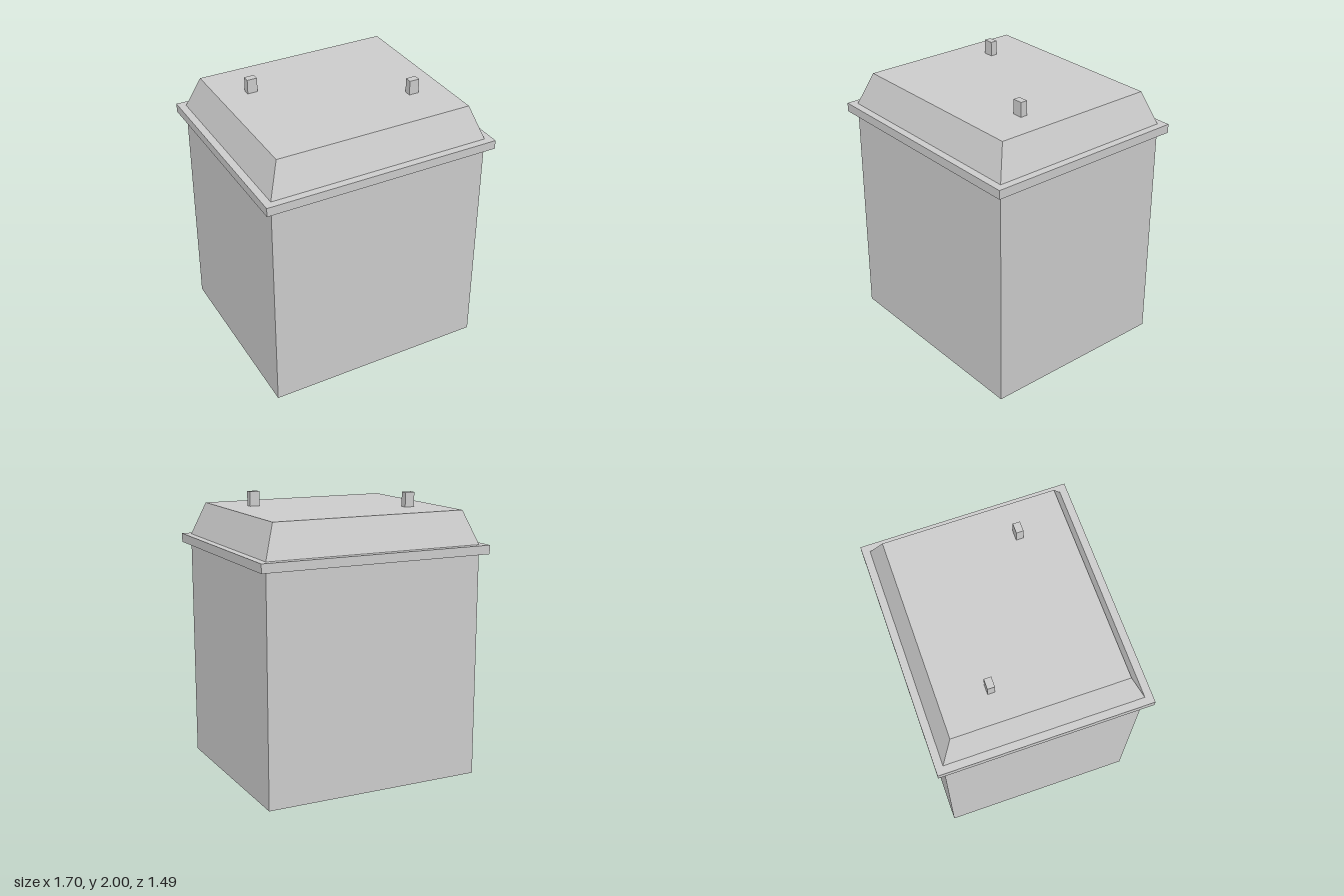
import * as THREE from 'three';

const grey = new THREE.MeshStandardMaterial({ color: 0xcccccc, side: THREE.DoubleSide });
grey.name = 'grey';

// Thin rectangular shell through a list of [halfX, y, halfZ] rings, bottom to top
function shell(name, rings, capTop = false) {
  const pos = [];
  const corner = ([x, y, z], i) => [[x, y, z], [x, y, -z], [-x, y, -z], [-x, y, z]][i % 4];
  const quad = (a, b, c, d) => pos.push(...a, ...b, ...c, ...a, ...c, ...d);
  for (let r = 0; r < rings.length - 1; r++) {
    for (let i = 0; i < 4; i++) {
      quad(corner(rings[r], i), corner(rings[r], i + 1), corner(rings[r + 1], i + 1), corner(rings[r + 1], i));
    }
  }
  if (capTop) quad(...[0, 1, 2, 3].map((i) => corner(rings[rings.length - 1], i)));
  const geo = new THREE.BufferGeometry();
  geo.setAttribute('position', new THREE.Float32BufferAttribute(pos, 3));
  geo.computeVertexNormals();
  const mesh = new THREE.Mesh(geo, grey);
  mesh.name = name;
  return mesh;
}

export function createModel() {
  const model = new THREE.Group();
  model.name = 'liddedBox';

  // Open-bottomed body, projecting rim and tapered lid
  model.add(shell('bodyWalls', [[0.797, 0, 0.692], [0.797, 1.6, 0.692]]));
  model.add(shell('rim', [
    [0.797, 1.6, 0.692], [0.85, 1.6, 0.745], [0.85, 1.663, 0.745], [0.797, 1.663, 0.692],
  ]));
  model.add(shell('taperedLid', [[0.797, 1.663, 0.692], [0.71, 1.897, 0.605]], true));

  // Two small pegs on opposite corners of the lid
  for (const side of [-1, 1]) {
    const peg = new THREE.Mesh(new THREE.BoxGeometry(0.072, 0.103, 0.05), grey);
    peg.name = side > 0 ? 'frontLeftPeg' : 'backRightPeg';
    peg.position.set(side * 0.477, 1.9485, side * 0.265);
    model.add(peg);
  }
  return model;
}
